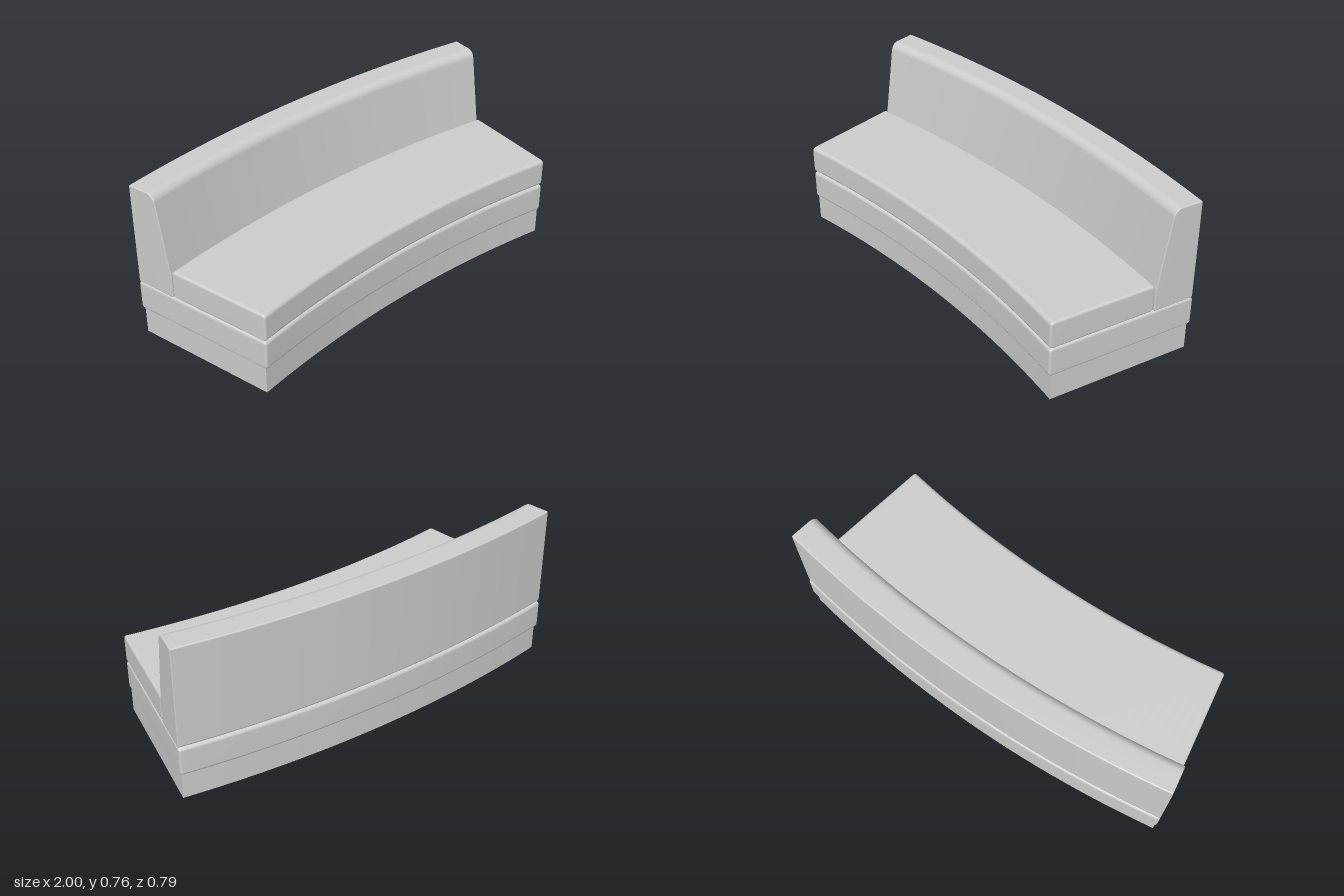
import * as THREE from 'three';
import { toCreasedNormals } from 'three/addons/utils/BufferGeometryUtils.js';

const CENTRE_Z = 5.473; // centre of the curve the bench follows
const ARC_STEPS = 40;
const FILLET_STEPS = 5;

// Convex counter-clockwise outline of [radius, height, fillet] corners,
// shrunk by inset and with its corners rounded.
function outline(corners, inset) {
  const n = corners.length;
  const dirs = corners.map(([x, y], i) => {
    const next = corners[(i + 1) % n];
    return new THREE.Vector2(next[0] - x, next[1] - y).normalize();
  });
  const points = [];
  corners.forEach(([x, y, fillet], i) => {
    const d0 = dirs[(i + n - 1) % n];
    const d1 = dirs[i];
    const turn = Math.acos(THREE.MathUtils.clamp(d0.dot(d1), -1, 1));
    const n0 = new THREE.Vector2(-d0.y, d0.x);
    const n1 = new THREE.Vector2(-d1.y, d1.x);
    const bisector = n0.clone().add(n1).normalize();
    const r = fillet > 0 ? Math.max(fillet - inset, 0.001) : 0;
    const centre = bisector.clone().multiplyScalar((inset + r) / Math.cos(turn / 2)).add(new THREE.Vector2(x, y));
    if (r === 0) {
      points.push(centre);
      return;
    }
    const start = Math.atan2(-n0.y, -n0.x);
    for (let k = 0; k <= FILLET_STEPS; k++) {
      const a = start + (turn * k) / FILLET_STEPS;
      points.push(new THREE.Vector2(centre.x + r * Math.cos(a), centre.y + r * Math.sin(a)));
    }
  });
  return points;
}

// Sweeps an outline along the arc, with rounded ends when endRadius > 0.
function sweep(corners, halfAngle, endRadius) {
  const meanR = (corners[0][0] + corners[1][0]) / 2;
  const ends = [];
  if (endRadius > 0) {
    for (let k = 0; k < FILLET_STEPS; k++) {
      const a = (k / FILLET_STEPS) * Math.PI / 2;
      ends.push({
        angle: halfAngle - endRadius * (1 - Math.cos(a)) / meanR,
        inset: endRadius * (1 - Math.sin(a)),
      });
    }
  }
  const inner = halfAngle - endRadius / meanR;
  const rings = ends.map(e => ({ angle: -e.angle, inset: e.inset }));
  for (let i = 0; i <= ARC_STEPS; i++) rings.push({ angle: inner * (2 * i / ARC_STEPS - 1), inset: 0 });
  rings.push(...ends.reverse());

  const positions = [];
  const indices = [];
  const put = (r, y, a) => positions.push(r * Math.sin(a), y, CENTRE_Z - r * Math.cos(a));
  let count = 0;
  for (const ring of rings) {
    const pts = outline(corners, ring.inset);
    count = pts.length;
    pts.forEach(p => put(p.x, p.y, ring.angle));
  }
  for (let i = 0; i < rings.length - 1; i++) {
    for (let j = 0; j < count; j++) {
      const a = i * count + j;
      const b = i * count + (j + 1) % count;
      indices.push(a, b, a + count, b, b + count, a + count);
    }
  }
  // End caps
  const midR = corners.reduce((s, c) => s + c[0], 0) / corners.length;
  const midY = corners.reduce((s, c) => s + c[1], 0) / corners.length;
  const first = rings.length * count;
  put(midR, midY, -halfAngle);
  put(midR, midY, halfAngle);
  const last = (rings.length - 1) * count;
  for (let j = 0; j < count; j++) {
    const k = (j + 1) % count;
    indices.push(first, k, j, first + 1, last + j, last + k);
  }
  const geometry = new THREE.BufferGeometry();
  geometry.setAttribute('position', new THREE.Float32BufferAttribute(positions, 3));
  geometry.setIndex(indices);
  if (endRadius === 0) return toCreasedNormals(geometry, 0.5);
  geometry.computeVertexNormals();
  return geometry;
}

// Four-cornered section between two radii and two heights
const block = (r0, r1, y0, y1, fillet) => [[r0, y0, fillet], [r1, y0, fillet], [r1, y1, fillet], [r0, y1, fillet]];

export function createModel() {
  const group = new THREE.Group();
  group.name = 'curvedBench';
  const upholstery = new THREE.MeshStandardMaterial({ color: 0xcccccc });
  upholstery.name = 'light grey';

  const add = (name, geometry) => {
    const mesh = new THREE.Mesh(geometry, upholstery);
    mesh.name = name;
    group.add(mesh);
  };

  add('plinth', sweep(block(5.164, 5.853, 0, 0.135, 0), 0.17, 0));
  add('seatFrame', sweep(block(5.152, 5.869, 0.129, 0.271, 0.016), 0.1713, 0.012));
  add('seatCushion', sweep(block(5.152, 5.663, 0.273, 0.409, 0.018), 0.1713, 0.012));

  // Backrest: upright foot, sloping front, soft top edge
  const backrest = [
    [5.664, 0.272, 0.006],
    [5.863, 0.272, 0.012],
    [5.863, 0.762, 0.007],
    [5.727, 0.762, 0.042],
    [5.664, 0.375, 0.05],
  ];
  add('backrest', sweep(backrest, 0.1713, 0.005));
  return group;
}
